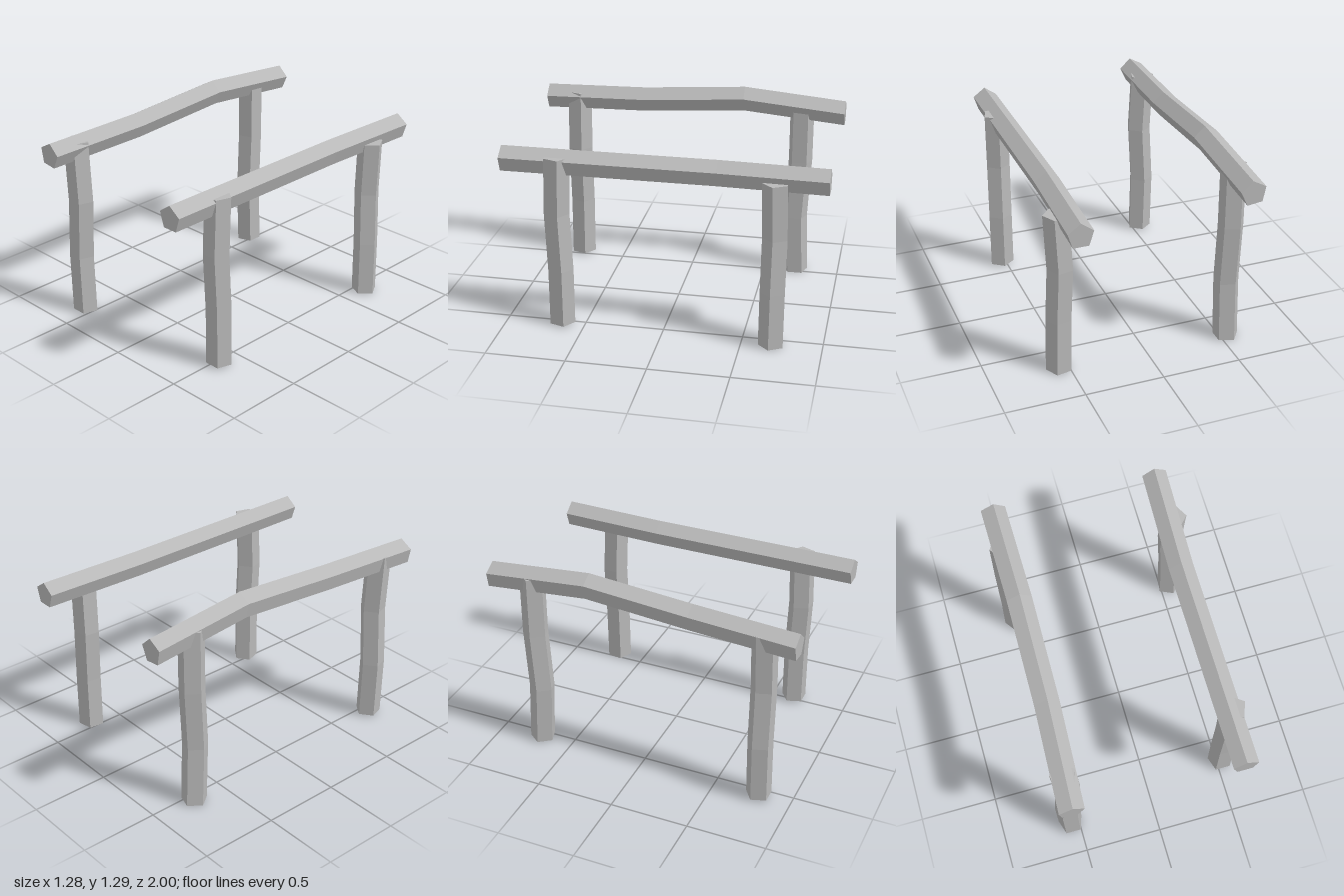
import * as THREE from 'three';

const SIDES = 5;
const RADIUS = 0.082;

// Faceted pentagonal timber through a list of [x, y, z] centres.
// Posts run upward (rings in x / -z); rails run toward +z (rings in x / y).
function timber(name, path, degrees, upright, material) {
  const rings = path.map(([x, y, z]) =>
    Array.from({ length: SIDES }, (_, i) => {
      const a = THREE.MathUtils.degToRad(degrees) + (i * 2 * Math.PI) / SIDES;
      const u = RADIUS * Math.cos(a), v = RADIUS * Math.sin(a);
      return upright ? [x + u, y, z - v] : [x + u, y + v, z];
    }));
  const tris = [];
  const first = rings[0], last = rings[rings.length - 1];
  // Long sides
  for (let r = 0; r < rings.length - 1; r++) {
    for (let i = 0; i < SIDES; i++) {
      const j = (i + 1) % SIDES;
      const a = rings[r], b = rings[r + 1];
      tris.push(a[i], a[j], b[j], a[i], b[j], b[i]);
    }
  }
  // Sawn ends
  for (let i = 1; i < SIDES - 1; i++) {
    tris.push(first[0], first[i + 1], first[i], last[0], last[i], last[i + 1]);
  }
  const geometry = new THREE.BufferGeometry();
  geometry.setAttribute('position', new THREE.Float32BufferAttribute(tris.flat(), 3));
  geometry.computeVertexNormals();
  const mesh = new THREE.Mesh(geometry, material);
  mesh.name = name;
  return mesh;
}

export function createModel() {
  const group = new THREE.Group();
  group.name = 'timberFrame';
  const grey = new THREE.MeshStandardMaterial({ color: 0xb8b8b8 });
  grey.name = 'plainGrey';

  // Rails, back to front
  group.add(
    timber('leftRail', [[0.52, 1.078, -1], [0.497, 1.078, -0.33], [0.497, 1.078, 0.33], [0.497, 1.078, 1]], 90, false, grey),
    timber('rightRail', [[-0.535, 1.15, -1], [-0.53, 1.21, -0.34], [-0.538, 1.162, 0.33], [-0.567, 1.14, 1]], 83, false, grey),
  );

  // Crooked posts, bottom to top
  group.add(
    timber('frontRightPost', [[-0.553, 0.01, 0.79], [-0.561, 0.4, 0.79], [-0.539, 0.79, 0.79], [-0.559, 1.185, 0.79]], 90, true, grey),
    timber('frontLeftPost', [[0.527, 0.01, 0.645], [0.527, 0.38, 0.645], [0.523, 0.75, 0.66], [0.527, 1.12, 0.648]], 90, true, grey),
    timber('backLeftPost', [[0.56, 0, -0.686], [0.556, 0.36, -0.688], [0.542, 0.71, -0.692], [0.558, 1.065, -0.684]], -7, true, grey),
    timber('backRightPost', [[-0.541, 0, -0.713], [-0.538, 0.4, -0.697], [-0.541, 0.8, -0.717], [-0.54, 1.205, -0.717]], 180, true, grey),
  );
  return group;
}
